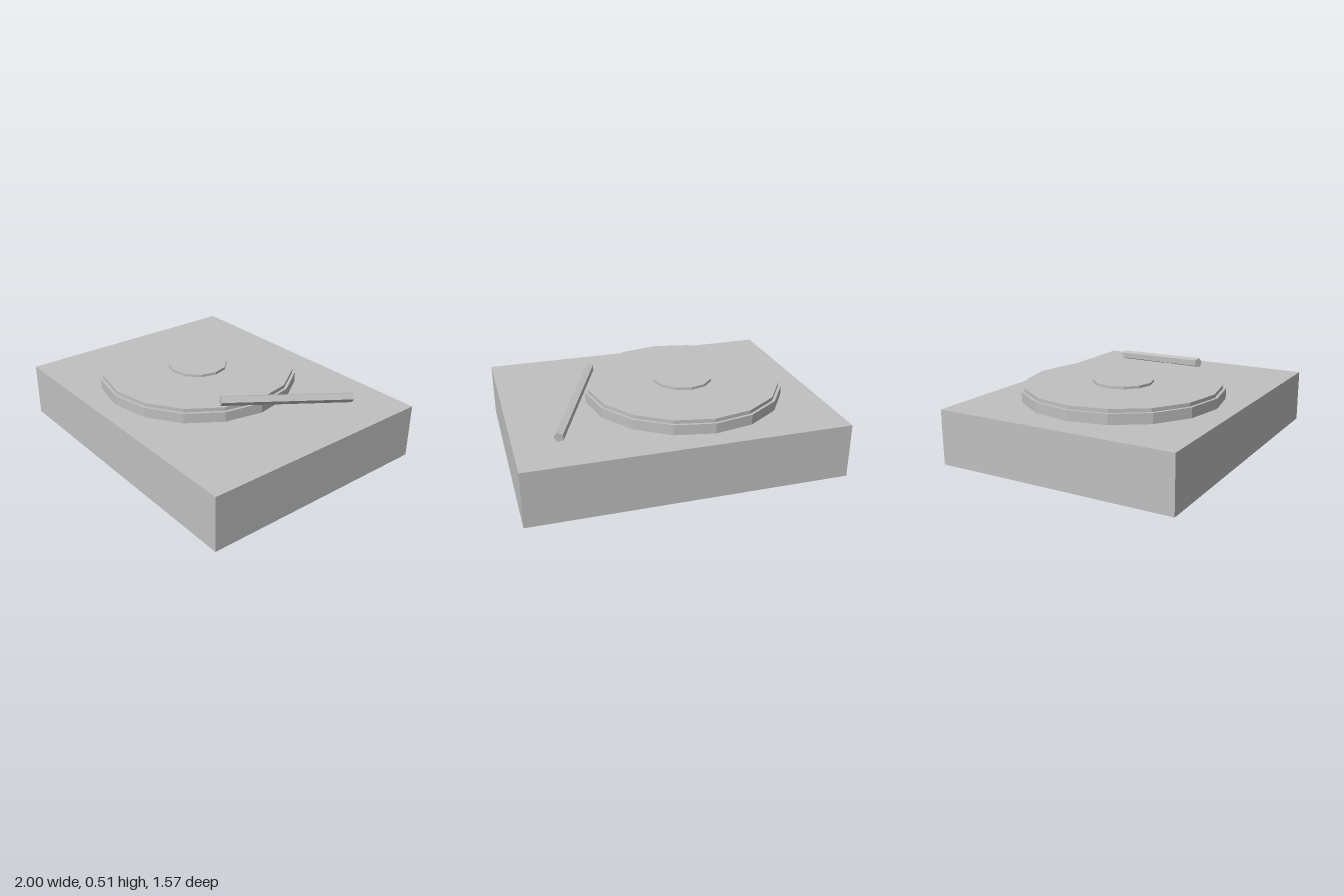
import * as THREE from 'three';

export function createModel() {
  const model = new THREE.Group();
  const grey = new THREE.MeshStandardMaterial({ color: 0xc0c0c0, flatShading: true });
  grey.name = 'lightGrey';

  const add = (name, geometry) => {
    const mesh = new THREE.Mesh(geometry, grey);
    mesh.name = name;
    model.add(mesh);
    return mesh;
  };

  // Case
  add('base', new THREE.BoxGeometry(2, 0.35, 1.57)).position.y = 0.175;

  // Stacked faceted discs: name, radius, sides, bottom, top
  const discs = [
    ['platter', 0.65, 16, 0.35, 0.415],
    ['record', 0.632, 16, 0.415, 0.438],
    ['recordLabel', 0.195, 12, 0.438, 0.455],
  ];
  for (const [name, radius, sides, bottom, top] of discs) {
    add(name, new THREE.CylinderGeometry(radius, radius, top - bottom, sides))
      .position.set(-0.175, (bottom + top) / 2, 0);
  }

  // Five-sided tone arm, one ridge facing sideways away from the record
  const tip = new THREE.Vector3(0.39, 0.481, 0.26);
  const pivot = new THREE.Vector3(0.735, 0.394, -0.52);
  const axis = pivot.clone().sub(tip);
  const arm = add('toneArm', new THREE.CylinderGeometry(0.032, 0.032, axis.length(), 5));
  axis.normalize();
  const side = new THREE.Vector3(-axis.z, 0, axis.x).normalize();
  const across = new THREE.Vector3().crossVectors(axis, side);
  arm.quaternion.setFromRotationMatrix(new THREE.Matrix4().makeBasis(across, axis, side));
  arm.position.addVectors(tip, pivot).multiplyScalar(0.5);

  return model;
}
